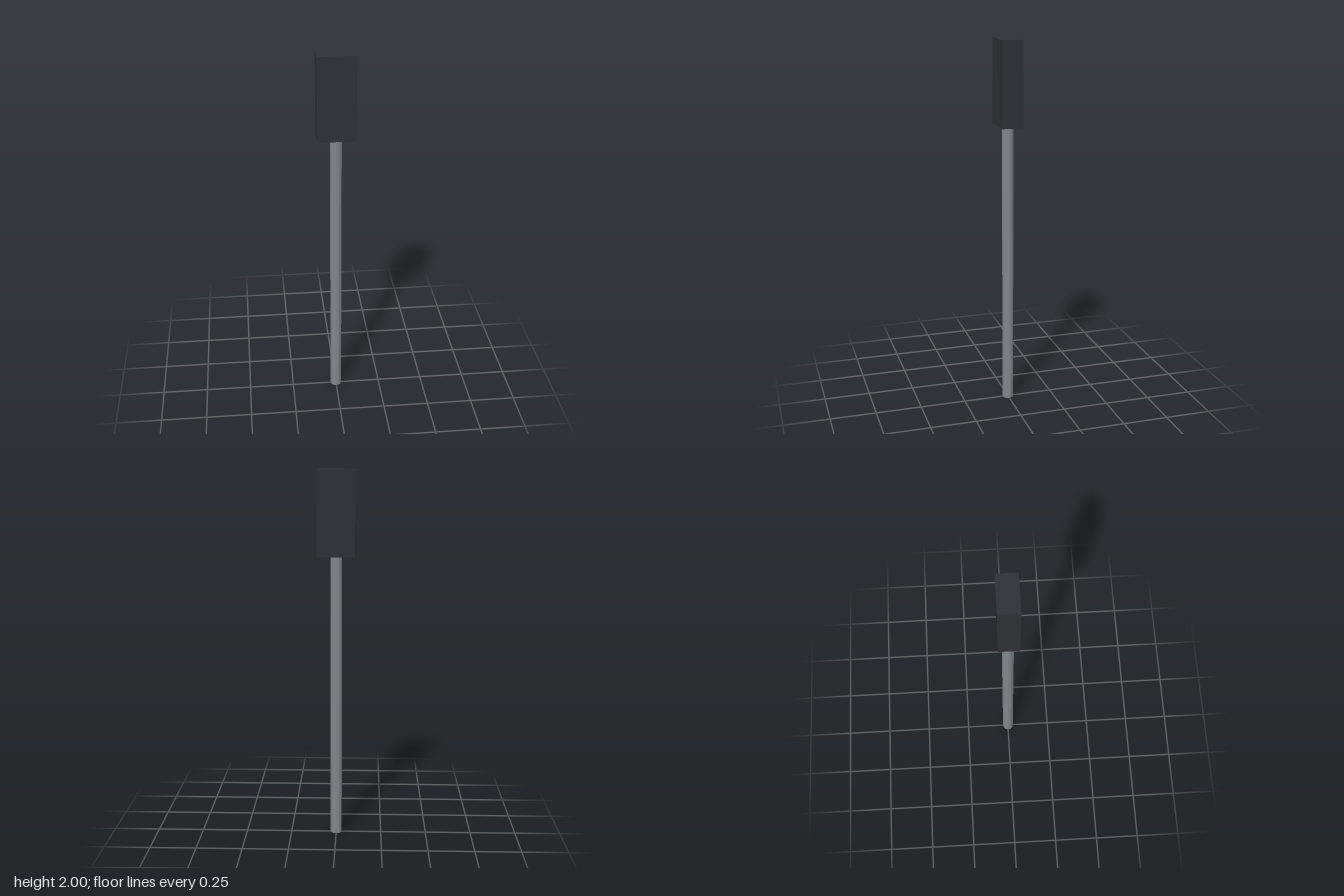
import * as THREE from 'three';

export function createModel() {
  const group = new THREE.Group();

  const addPart = (name, geometry, color, y) => {
    const material = new THREE.MeshStandardMaterial({ color, flatShading: true });
    const mesh = new THREE.Mesh(geometry, material);
    mesh.name = name;
    mesh.position.y = y;
    group.add(mesh);
  };

  const poleHeight = 1.55;
  const headHeight = 0.45;

  // Faceted upright pole, closed at both ends
  addPart('pole', new THREE.CylinderGeometry(0.031, 0.031, poleHeight, 12), 0x80868b, poleHeight / 2);

  // Rectangular block on top of the pole
  addPart('headBlock', new THREE.BoxGeometry(0.2, headHeight, 0.108), 0x2d3035, poleHeight + headHeight / 2);

  return group;
}
